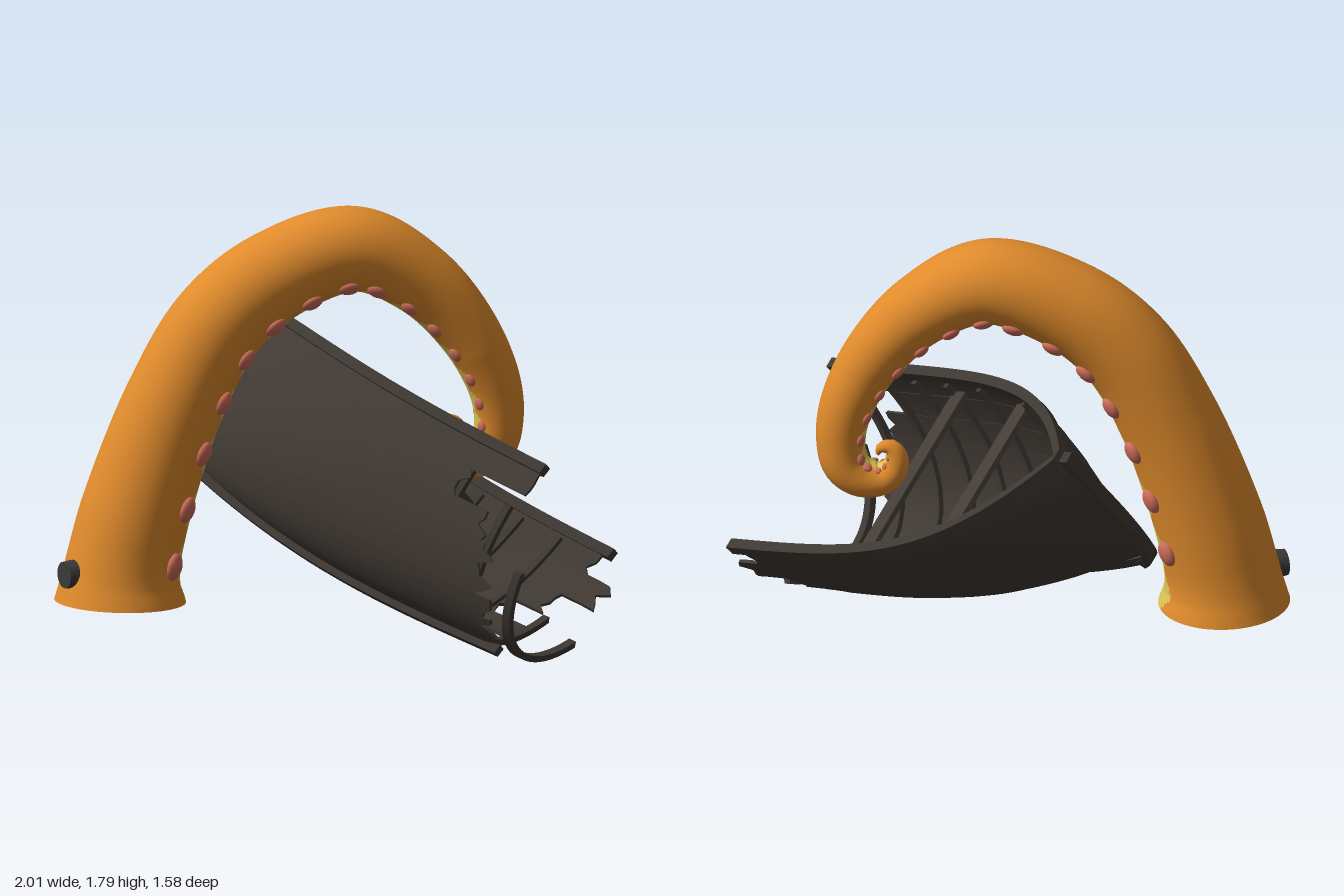
import * as THREE from 'three';
import { toCreasedNormals } from 'three/addons/utils/BufferGeometryUtils.js';

const V = (x, y, z) => new THREE.Vector3(x, y, z);
const mat = (name, color) => {
  const m = new THREE.MeshStandardMaterial({ color });
  m.name = name;
  return m;
};

// Solid lofted through closed rings; the ends are closed by strips across the ring
function loft(rings) {
  const n = rings[0].length, pos = rings.flat(), idx = [];
  const quad = (a, b, c, d) => idx.push(a, b, c, a, c, d);
  for (let i = 0; i < rings.length - 1; i++)
    for (let j = 0; j < n; j++) {
      const k = (j + 1) % n;
      quad(i * n + j, i * n + k, (i + 1) * n + k, (i + 1) * n + j);
    }
  const e = (rings.length - 1) * n;
  for (let k = 0; k < n / 2 - 1; k++) {
    quad(n - 1 - k, n - 2 - k, k + 1, k);
    quad(e + k, e + k + 1, e + n - 2 - k, e + n - 1 - k);
  }
  // turn the faces outward
  let volume = 0;
  for (let i = 0; i < idx.length; i += 3)
    volume += pos[idx[i]].dot(pos[idx[i + 1]].clone().cross(pos[idx[i + 2]]));
  if (volume < 0) idx.reverse();
  const g = new THREE.BufferGeometry().setFromPoints(pos);
  g.setIndex(idx);
  return toCreasedNormals(g, 0.6);
}

const steps = (n, f) => Array.from({ length: n + 1 }, (_, i) => f(i / n));

// ---- Tentacle: a planar path of (distance, height, radius) ----
const path = new THREE.CatmullRomCurve3([
  [0, 0.195, 0.266], [0.001, 0.235, 0.254], [0.004, 0.28, 0.241], [0.015, 0.36, 0.23], [0.06, 0.55, 0.222],
  [0.22, 1.0, 0.203], [0.4, 1.32, 0.193], [0.63, 1.51, 0.185], [0.955, 1.61, 0.173],
  [1.22, 1.48, 0.148], [1.41, 1.27, 0.127], [1.52, 1.05, 0.11], [1.545, 0.9, 0.1],
  [1.525, 0.79, 0.094], [1.46, 0.736, 0.085], [1.375, 0.733, 0.068], [1.328, 0.78, 0.056],
  [1.32, 0.84, 0.044], [1.345, 0.88, 0.031], [1.385, 0.872, 0.021], [1.395, 0.845, 0.006],
].map((p) => V(...p)));
path.arcLengthDivisions = 800;
const ALONG = V(0.745, 0, -0.667), SIDE = V(0.667, 0, 0.745);
const PITCH = 1.14; // sucker spacing in one row, in radii

function frameAt(u) {
  const p = path.getPointAt(u), t = path.getTangentAt(u);
  t.z = 0;
  t.normalize();
  const lift = (s, y) => ALONG.clone().multiplyScalar(s).add(V(0, y, 0));
  return {
    r: p.z,
    // the curled tip drifts slightly sideways
    center: lift(p.x, p.y).add(V(-0.715, 0, 0.515)).addScaledVector(SIDE, -0.2 * Math.max(0, u - 0.75)),
    tangent: lift(t.x, t.y), inner: lift(t.y, -t.x),
  };
}
const around = (f, phi) =>
  f.inner.clone().multiplyScalar(Math.cos(phi)).addScaledVector(SIDE, Math.sin(phi));

function tentacle(skin, belly, coral) {
  const group = new THREE.Group();
  group.name = 'tentacle';
  const N = 220, M = 96, pts = [], skinIdx = [], bellyIdx = [];
  let phase = -0.87;
  for (let i = 0; i <= N; i++) {
    const f = frameAt(i / N);
    phase += path.getLength() / N / f.r;
    // scalloped belly edge, widest beside each sucker and narrow at the base
    const wave = 0.18 * Math.cos(phase * 2 * Math.PI / PITCH);
    const taper = Math.min(1, 0.65 + 2.5 * (f.center.y - 0.2));
    for (let j = 0; j < M; j++) {
      const phi = (j / M) * Math.PI * 2 - Math.PI, mid = phi + Math.PI / M;
      pts.push(f.center.clone().addScaledVector(around(f, phi), f.r));
      if (i === N) continue;
      const a = i * M + j, b = i * M + (j + 1) % M;
      const limit = taper * (0.45 + (mid > 0 ? wave : -wave));
      (Math.abs(mid) < limit ? bellyIdx : skinIdx).push(a, a + M, b, b, a + M, b + M);
    }
  }
  const g = new THREE.BufferGeometry().setFromPoints(pts);
  g.setIndex([...skinIdx, ...bellyIdx]);
  g.addGroup(0, skinIdx.length, 0);
  g.addGroup(skinIdx.length, bellyIdx.length, 1);
  g.computeVertexNormals();
  const arm = new THREE.Mesh(g, [skin, belly]);
  arm.name = 'arm';
  group.add(arm);

  // underside, with the belly stripe running in as a wedge
  const toward = Math.atan2(ALONG.z, ALONG.x), half = 0.3;
  for (const [name, material, start, sweep] of [
    ['armBase', skin, toward + half, 2 * Math.PI - 2 * half], ['bellyBase', belly, toward - half, 2 * half]]) {
    const base = new THREE.Mesh(new THREE.CircleGeometry(0.265, 48, start, sweep).rotateX(Math.PI / 2), material);
    base.name = name;
    base.position.set(-0.715, 0.197, 0.515);
    group.add(base);
  }

  // two staggered rows of suckers, shrinking toward the tip
  const ball = new THREE.SphereGeometry(1, 18, 12), length = path.getLength();
  let u = 0.2 / length, row = 0;
  while (u < 0.985) {
    const f = frameAt(u), out = around(f, row % 2 ? -0.64 : 0.66);
    const s = new THREE.Mesh(ball, coral);
    s.name = 'sucker';
    s.quaternion.setFromRotationMatrix(
      new THREE.Matrix4().makeBasis(out, f.tangent, out.clone().cross(f.tangent)));
    s.scale.set(0.12 * f.r, 0.25 * f.r, 0.21 * f.r);
    s.position.copy(f.center).addScaledVector(out, f.r * 1.01);
    group.add(s);
    u += PITCH / 2 * f.r / length;
    row++;
  }
  return group;
}

// ---- Boat, in its own frame: x toward the broken stern, y up, z to one side ----
const LEN = 1.91;
function hull(a, theta, off = 0) {
  const t = a / LEN, q = Math.max(0, 1 - t), s = Math.sin(theta), c = Math.cos(theta);
  const w = 0.447 * (1 - q ** 4) + 0.008;
  const depth = 0.65 + 0.085 * Math.sin(Math.PI * t), sheer = -0.055 * Math.sin(Math.PI * Math.min(t, 1));
  const side = Math.sign(c) * Math.abs(c) ** (1 + 0.7 * q ** 4);
  return V(a + 0.03 + 0.11 * q ** 8 * s ** 2, sheer - (depth + sheer) * s - off * s, w * side + off * c);
}

function boat(wood, bench, trim) {
  const group = new THREE.Group();
  group.name = 'boat';
  const add = (name, geometry, material) => {
    const m = new THREE.Mesh(geometry, material);
    m.name = name;
    group.add(m);
  };

  // overlapping planks with splintered ends
  let seed = 7;
  const rand = () => (seed = (seed * 16807) % 2147483647) / 2147483647;
  const ends = [1.91, 1.68, 1.86, 1.92, 1.96, 2.02, 2.0, 2.0, 1.96, 1.78, 1.68, 1.87, 1.7, 1.86, 2.02, 1.86];
  const n = ends.length, K = 4;
  ends.forEach((end, i) => {
    const tips = steps(K, () => end - (i ? 0.1 * rand() : 0.01 * rand()));
    const lap = (v) => 0.003 * (i < n / 2 ? v : 1 - v);
    const angle = (v) => Math.PI * Math.min(1, Math.max(0, (i + v * 1.02) / n));
    add('plank', loft(steps(40, (u) => [
      ...steps(K, (v) => hull(u * tips[Math.round(v * K)], angle(v), lap(v))),
      ...steps(K, (v) => hull(u * tips[Math.round((1 - v) * K)], angle(1 - v), lap(1 - v) - 0.014)),
    ])), wood);
  });

  // curved ribs; the last two stand bare of planks
  const rib = (a, from, to, wide = 0.026) => add('rib', loft(steps(36, (v) => {
    const th = from + (to - from) * v;
    return [hull(a, th, -0.006), hull(a + wide, th, -0.006), hull(a + wide, th, -0.034), hull(a, th, -0.034)];
  })), trim);
  [0.32, 0.6, 0.97, 1.2, 1.41, 1.61].forEach((a) => rib(a, 0.06, Math.PI - 0.06));
  rib(1.84, 0.3, 2.5, 0.03);
  rib(2.02, 0.68, 2.4, 0.035);

  // gunwale rails
  for (const [theta, end] of [[0, 1.91], [Math.PI, 1.86]]) {
    const out = Math.cos(theta);
    add('rail', loft(steps(40, (u) => [[0.02, 0.022], [-0.026, 0.022], [-0.026, -0.022], [0.02, -0.022]]
      .map(([z, y]) => hull(u * end, theta).add(V(0, y, z * out))))), trim);
  }

  // benches spanning the hull
  for (const a of [0.7, 1.18]) {
    const w = Math.abs(hull(a, 0.2).z) - 0.005;
    add('bench', new THREE.BoxGeometry(0.08, 0.022, w * 2).translate(a + 0.03, -0.15, 0), bench);
  }

  // keel and the stem post standing a little clear of the bow
  const keel = (u) => hull(0.02 + u * 1.96, Math.PI / 2);
  add('keel', loft(steps(30, (u) => [[0.02, 0.01], [-0.02, 0.01], [-0.02, -0.03], [0.02, -0.03]]
    .map(([z, y]) => keel(u).add(V(0, y, z))))), trim);
  const stem = new THREE.CatmullRomCurve3(
    [V(-0.015, 0.005, 0), V(0.01, -0.2, 0), V(0.045, -0.42, 0), V(0.1, -0.6, 0), V(0.135, -0.66, 0), V(0.21, -0.695, 0)]);
  add('stemPost', loft(steps(24, (u) => {
    const p = stem.getPoint(u), t = stem.getTangent(u), o = V(t.y, -t.x, 0).multiplyScalar(0.022);
    return [[1, 0.026], [1, -0.026], [-1, -0.026], [-1, 0.026]]
      .map(([k, z]) => p.clone().addScaledVector(o, k).add(V(0, 0, z)));
  })), trim);

  // tilt and roll
  const X = V(0.93, -0.356, 0.1).normalize(), Z = V(0.179, 0.537, 0.82);
  Z.addScaledVector(X, -X.dot(Z)).normalize();
  group.quaternion.setFromRotationMatrix(new THREE.Matrix4().makeBasis(X, Z.clone().cross(X), Z));
  group.position.set(-0.86, 1.27, -0.555);
  return group;
}

export function createModel() {
  const model = new THREE.Group();
  model.name = 'tentacleAndBoat';
  const trim = mat('dark wood', 0x3e3833);
  model.add(tentacle(mat('orange skin', 0xe08b2c), mat('yellow belly', 0xdcc653), mat('coral suckers', 0xcc6c5a)));
  model.add(boat(mat('hull wood', 0x413a34), mat('bench wood', 0x443c36), trim));

  // round stud on the base of the arm
  const stud = new THREE.Mesh(new THREE.CylinderGeometry(0.054, 0.06, 0.06, 24), mat('dark metal', 0x3b3a39));
  stud.name = 'stud';
  const out = V(-0.44, 0, 0.898).normalize();
  stud.quaternion.setFromUnitVectors(V(0, 1, 0), out);
  stud.position.copy(V(-0.715, 0.325, 0.515)).addScaledVector(out, 0.232);
  model.add(stud);
  return model;
}
